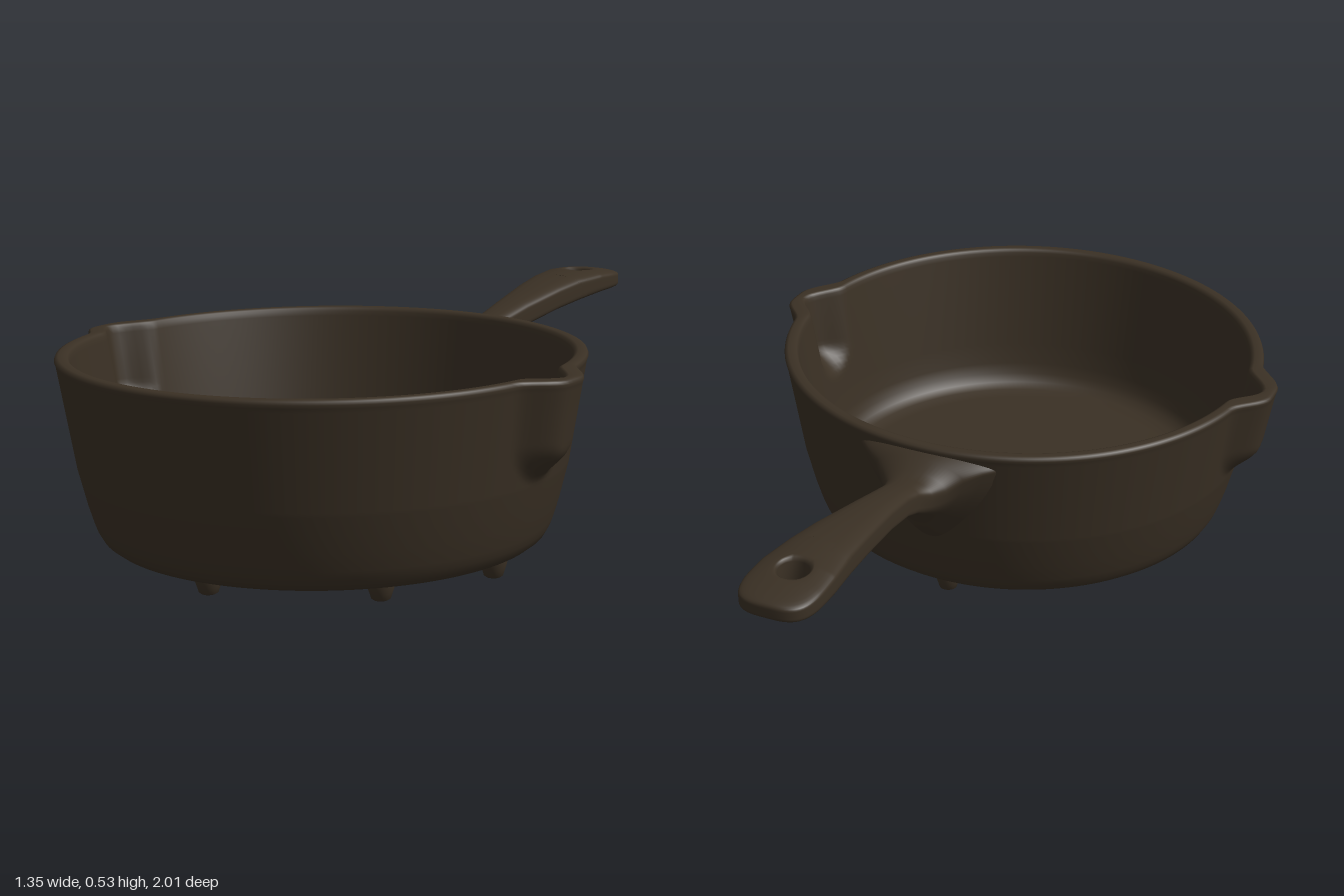
import * as THREE from 'three';
import { mergeVertices } from 'three/addons/utils/BufferGeometryUtils.js';

const PAN_Z = 0.38; // centre of the bowl
const { smoothstep, lerp, clamp } = THREE.MathUtils;

// Weld and smooth a geometry
function smooth(geo) {
  geo.deleteAttribute('uv');
  geo.deleteAttribute('normal');
  const g = mergeVertices(geo, 1e-5);
  g.computeVertexNormals();
  return g;
}

// Skin a list of closed rings of equal length
function loft(rings) {
  const n = rings[0].length, index = [];
  for (let i = 0; i < rings.length - 1; i++) {
    for (let j = 0; j < n; j++) {
      const k = (j + 1) % n;
      const a = i * n + j, b = i * n + k, c = b + n, d = a + n;
      index.push(a, b, c, a, c, d);
    }
  }
  const geo = new THREE.BufferGeometry();
  geo.setAttribute('position', new THREE.Float32BufferAttribute(rings.flat(2), 3));
  geo.setIndex(index);
  return smooth(geo);
}

// Bowl: lathed wall and floor, pushed outwards into two pouring spouts
function bowlGeometry() {
  const outer = [[0, 0.033], [0.05, 0.035], [0.09, 0.042], [0.25, 0.042], [0.45, 0.042],
    [0.485, 0.044], [0.508, 0.051], [0.525, 0.064], [0.536, 0.083], [0.543, 0.102], [0.556, 0.145], [0.567, 0.19], [0.577, 0.23]];
  const rim = [[0.617, 0.472], [0.62, 0.48], [0.617, 0.487], [0.61, 0.49], [0.596, 0.49], [0.589, 0.487], [0.585, 0.48]];
  const inner = [[0.542, 0.2], [0.534, 0.155], [0.526, 0.126], [0.511, 0.105], [0.487, 0.093], [0.45, 0.088], [0.2, 0.087], [0, 0.087]];
  const wall = (a, b, steps) => Array.from({ length: steps - 1 }, (_, i) =>
    [lerp(a[0], b[0], (i + 1) / steps), lerp(a[1], b[1], (i + 1) / steps)]);
  const profile = [...outer, ...wall(outer.at(-1), rim[0], 24), ...rim, ...wall(rim.at(-1), inner[0], 24), ...inner];
  const innerStart = outer.length + 23 + 4;
  const geo = new THREE.LatheGeometry(profile.map(p => new THREE.Vector2(...p)), 256);
  const pos = geo.attributes.position;
  for (let i = 0; i < pos.count; i++) {
    const x = pos.getX(i), y = pos.getY(i), z = pos.getZ(i), r = Math.hypot(x, z);
    if (y < 0.2 || r < 0.5) continue;
    const inside = i % profile.length >= innerStart;
    const across = (z - 0.006) * (1 + 1.2 * (0.49 - y));
    const dist = Math.hypot(across, 1.3 * Math.max(0, 0.34 - y));
    const push = inside ? 1 - smoothstep(dist, 0, 0.1) : 1 - smoothstep(dist, 0.025, 0.135);
    const k = (r + 0.055 * push) / r;
    pos.setXYZ(i, x * k, y - 0.004 * push * smoothstep(y, 0.4, 0.49), z * k);
  }
  return smooth(geo);
}

// Handle stations: z, half width, top, bottom
const STATIONS = [
  [-1.0, 0.092, 0.524, 0.477], [-0.92, 0.092, 0.533, 0.476], [-0.85, 0.09, 0.537, 0.472],
  [-0.75, 0.078, 0.533, 0.461], [-0.65, 0.068, 0.519, 0.449], [-0.5, 0.052, 0.491, 0.424],
  [-0.4, 0.045, 0.469, 0.402], [-0.35, 0.047, 0.456, 0.382], [-0.31, 0.063, 0.447, 0.355],
  [-0.28, 0.085, 0.454, 0.327], [-0.25, 0.115, 0.473, 0.292], [-0.225, 0.155, 0.484, 0.255],
  [-0.2, 0.195, 0.485, 0.2]];

function station(z) {
  const i = clamp(STATIONS.findIndex(s => s[0] >= z), 1, STATIONS.length - 1);
  const a = STATIONS[i - 1], b = STATIONS[i], t = clamp((z - a[0]) / (b[0] - a[0]), 0, 1);
  const [, w, top, bottom] = a.map((v, k) => lerp(v, b[k], t));
  return { w, top, bottom, mid: (top + bottom) / 2 };
}

// Slightly domed top across the handle
const crown = (x, w) => 1 - 0.3 * Math.min(1, (x / w) ** 2);

// Neck: squarish sections that flare under the rim into a keel on the wall
function neckGeometry() {
  const zs = [-0.78, -0.75, -0.7, -0.65, -0.6, -0.55, -0.5, -0.45, ...STATIONS.slice(6).map(s => s[0])];
  return loft(zs.map((z, row) => {
    const { w, top, bottom, mid } = station(z);
    const near = smoothstep(z, -0.37, -0.22);
    const power = lerp(1 / 3, 0.8, near);
    const waist = lerp(mid, top - 0.035, near);
    return Array.from({ length: 56 }, (_, j) => {
      const a = j / 56 * Math.PI * 2, c = Math.cos(a), s = Math.sin(a);
      const taper = s < 0 ? 1 - 0.6 * near * -s : 1;
      const x = w * Math.sign(c) * Math.abs(c) ** power * taper;
      const lift = Math.abs(s) ** power;
      const y = s > 0 ? waist + (top - waist) * lift * crown(x, w) : waist - (waist - bottom) * lift;
      const radius = 0.525 + 0.077 * (y - 0.1) / 0.38;
      return [x, y, row === zs.length - 1 ? PAN_Z - Math.sqrt(radius ** 2 - x * x) : z];
    });
  }));
}

// Grip: rounded paddle skinned around its hanging hole
function gripGeometry() {
  const holeZ = -0.87, holeR = 0.035, join = -0.74, n = 96;
  const edge = (x, z) => (Math.abs(x / station(z).w) ** 3.5 + Math.max(0, (holeZ - z) / 0.13) ** 3.5) ** (1 / 3.5);
  const reach = Array.from({ length: n }, (_, j) => {
    const a = j / n * Math.PI * 2;
    let lo = 0, hi = 0.3;
    for (let k = 0; k < 30; k++) {
      const d = (lo + hi) / 2, z = holeZ + d * Math.sin(a);
      if (z > join || edge(d * Math.cos(a), z) > 1) hi = d; else lo = d;
    }
    return lo;
  });
  const ring = (s, side, sink = 1) => reach.map((far, j) => {
    const a = j / n * Math.PI * 2, d = lerp(holeR, far, s);
    const x = d * Math.cos(a), z = holeZ + d * Math.sin(a);
    const { w, top, mid } = station(z);
    const lift = (top - mid) * sink * (1 - Math.min(1, edge(x, z)) ** 6) ** (1 / 6);
    return [x, side > 0 ? mid + lift * crown(x, w) : mid - lift, z];
  });
  const steps = [0.15, 0.35, 0.6, 0.78, 0.88, 0.94, 0.975, 0.992, 0.998, 0.9997, 1];
  return loft([
    ring(0, -1, 0.85), ring(0, 1, 0.7), ring(0.08, 1, 0.93), ...steps.map(s => ring(s, 1)),
    ...steps.slice().reverse().map(s => ring(s, -1)), ring(0.05, -1, 0.95), ring(0, -1, 0.85)]);
}

export function createModel() {
  const iron = new THREE.MeshStandardMaterial({ color: 0x3a3024 });
  iron.name = 'seasoned iron';
  const model = new THREE.Group();
  model.name = 'skillet';
  const add = (parent, geo, name) => {
    const mesh = new THREE.Mesh(geo, iron);
    mesh.name = name;
    parent.add(mesh);
    return mesh;
  };

  // Bowl and its feet lean forward very slightly
  const pan = new THREE.Group();
  pan.name = 'pan';
  pan.position.z = PAN_Z;
  pan.rotation.x = 0.011;
  model.add(pan);
  add(pan, bowlGeometry(), 'bowl');

  // Six short tapered feet
  const footShape = [[0, 0.008], [0.016, 0.008], [0.022, 0.012], [0.026, 0.025], [0.031, 0.04], [0.032, 0.06]];
  const footGeo = smooth(new THREE.LatheGeometry(footShape.map(p => new THREE.Vector2(...p)), 24));
  const feet = [[0, 0.45], [0.35, 0.29], [-0.35, 0.29], [0.47, 0.01], [-0.47, 0.01], [0, -0.47]];
  for (const [x, z] of feet) add(pan, footGeo, 'foot').position.set(x, 0, z);

  const handle = new THREE.Group();
  handle.name = 'handle';
  model.add(handle);
  add(handle, neckGeometry(), 'handleNeck');
  add(handle, gripGeometry(), 'handleGrip');
  return model;
}
